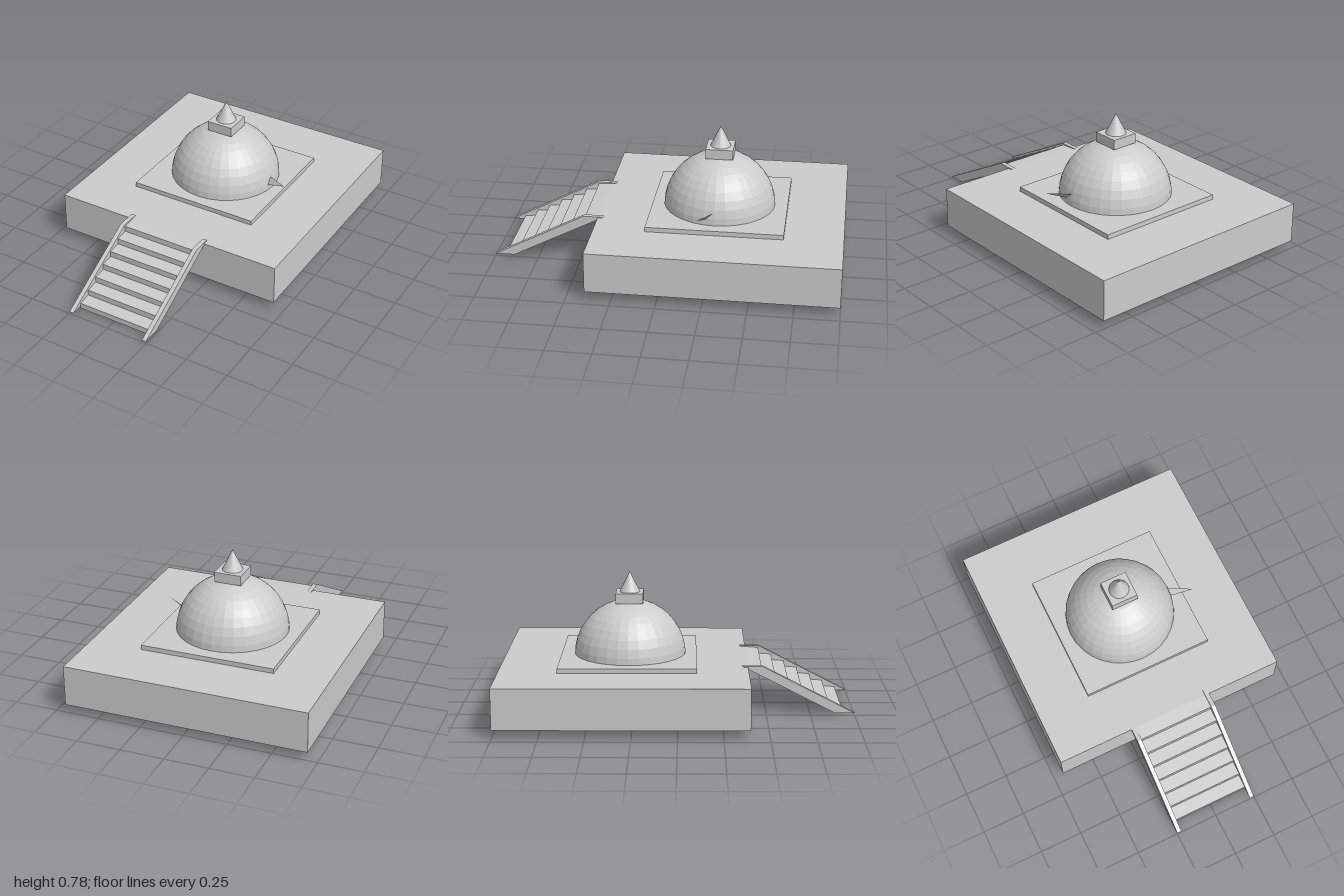
import * as THREE from 'three';

const STAIR_FRONT = 0.93, STAIR_BACK = 0.395, DECK_Y = 0.28, DOME_Z = -0.277;

function material(double = false) {
  return new THREE.MeshStandardMaterial({
    color: 0xcccccc,
    flatShading: true,
    side: double ? THREE.DoubleSide : THREE.FrontSide,
  });
}

export function createModel() {
  const model = new THREE.Group();

  const add = (name, geometry, x, y, z, double = false) => {
    const mesh = new THREE.Mesh(geometry, material(double));
    mesh.name = name;
    mesh.position.set(x, y, z);
    model.add(mesh);
    return mesh;
  };
  // Box given by its bottom and top heights
  const block = (name, w, d, y0, y1, z) =>
    add(name, new THREE.BoxGeometry(w, y1 - y0, d), 0, (y0 + y1) / 2, z);

  // Terrace and the low plinth under the dome
  block('terrace', 1.39, 1.395, 0.047, DECK_Y, -0.3025);
  block('plinth', 0.774, 0.774, DECK_Y, 0.307, -0.282);

  // Dome, finial block and pointed finial
  add('dome', new THREE.SphereGeometry(0.32, 32, 10, 0, Math.PI * 2, 0, Math.PI / 2),
    0, 0.295, DOME_Z, true);
  block('finialBlock', 0.156, 0.156, 0.606, 0.663, DOME_Z);
  add('finialCone', new THREE.ConeGeometry(0.058, 0.118, 24), 0, 0.722, DOME_Z);

  // Thin pointed spout on the left flank of the dome
  const spout = new THREE.BufferGeometry();
  spout.setAttribute('position', new THREE.Float32BufferAttribute([
    0.30, 0.373, -0.268,
    0.30, 0.335, -0.23,
    0.437, 0.39, -0.19,
  ], 3));
  spout.computeVertexNormals();
  add('spout', spout, 0, 0, 0, true);

  // Staircase: a folded sheet of upright risers and slightly sloping treads
  const steps = 7;
  const rise = DECK_Y / steps, run = (STAIR_FRONT - STAIR_BACK) / steps;
  const profile = [];
  for (let i = 0; i < steps; i++) {
    const z = STAIR_FRONT - i * run;
    profile.push([i * rise, z], [i * rise + 0.034, z]);
  }
  profile.push([DECK_Y, STAIR_BACK]);
  const positions = [], index = [];
  profile.forEach(([y, z], i) => {
    positions.push(-0.224, y, z, 0.224, y, z);
    if (i > 0) {
      const a = 2 * (i - 1);
      index.push(a, a + 1, a + 3, a, a + 3, a + 2);
    }
  });
  const stairs = new THREE.BufferGeometry();
  stairs.setAttribute('position', new THREE.Float32BufferAttribute(positions, 3));
  stairs.setIndex(index);
  stairs.computeVertexNormals();
  add('stairs', stairs, 0, 0, 0, true);

  // Sloping side rails: profile drawn in z and y, extruded across x
  const railShape = new THREE.Shape([
    new THREE.Vector2(1.0, 0.012),
    new THREE.Vector2(0.475, 0.285),
    new THREE.Vector2(0.362, 0.285),
    new THREE.Vector2(0.89, 0.012),
  ]);
  const thickness = 0.026;
  const railGeometry = new THREE.ExtrudeGeometry(railShape, { depth: thickness, bevelEnabled: false })
    .translate(0, 0, -thickness / 2)
    .rotateY(-Math.PI / 2);
  for (const [name, side] of [['leftRail', 1], ['rightRail', -1]]) {
    add(name, railGeometry, side * 0.236, 0, 0);
  }

  return model;
}
